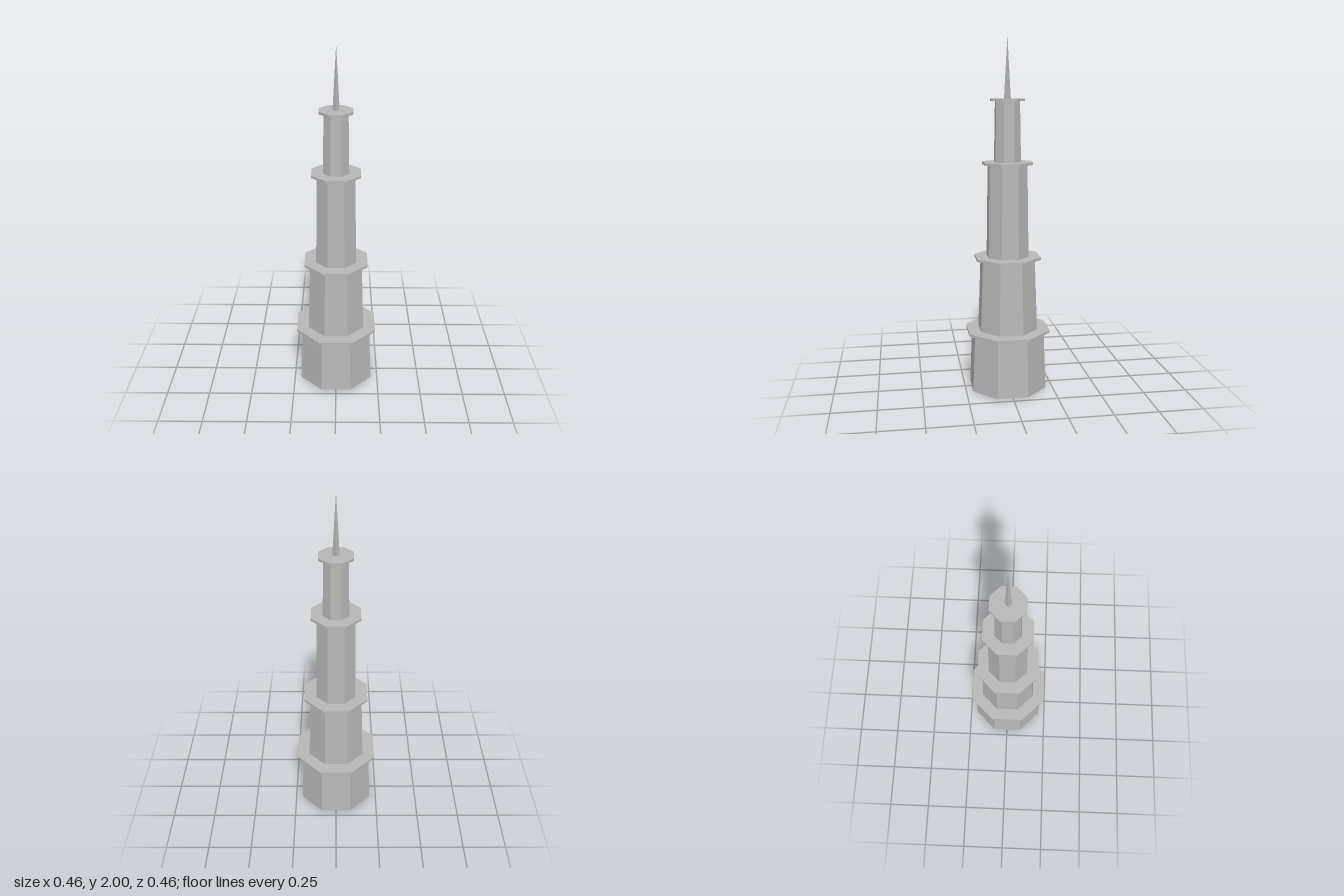
import * as THREE from 'three';

const stone = new THREE.MeshStandardMaterial({ color: 0xb8b8b8, flatShading: true });
stone.name = 'grey stone';

// Eight-sided prism with flats facing the axes; sizes are centre-to-flat distances
function octagon(name, bottom, top, y0, y1) {
  const k = 1 / Math.cos(Math.PI / 8);
  const geometry = new THREE.CylinderGeometry(top * k, bottom * k, y1 - y0, 8, 1, false, Math.PI / 8);
  const mesh = new THREE.Mesh(geometry, stone);
  mesh.name = name;
  mesh.position.y = (y0 + y1) / 2;
  return mesh;
}

export function createModel() {
  const tower = new THREE.Group();
  tower.name = 'tower';

  // Tapered tiers, each capped by an overhanging ledge: [bottom, top, ledge, ledge underside]
  const tiers = [
    [0.211, 0.198, 0.231, 0.334],
    [0.162, 0.148, 0.181, 0.759],
    [0.114, 0.106, 0.136, 1.296],
    [0.072, 0.066, 0.092, 1.645],
  ];
  const thickness = 0.014;
  let y = 0;
  tiers.forEach(([bottom, top, ledge, under], i) => {
    tower.add(octagon(`tier${i + 1}`, bottom, top, y, under));
    tower.add(octagon(`ledge${i + 1}`, ledge, ledge, under, under + thickness));
    y = under + thickness;
  });

  // Four-sided spire with its corners on the axes
  const spire = new THREE.Mesh(new THREE.ConeGeometry(0.019, 2 - y, 4), stone);
  spire.name = 'spire';
  spire.position.y = (2 + y) / 2;
  tower.add(spire);

  return tower;
}
